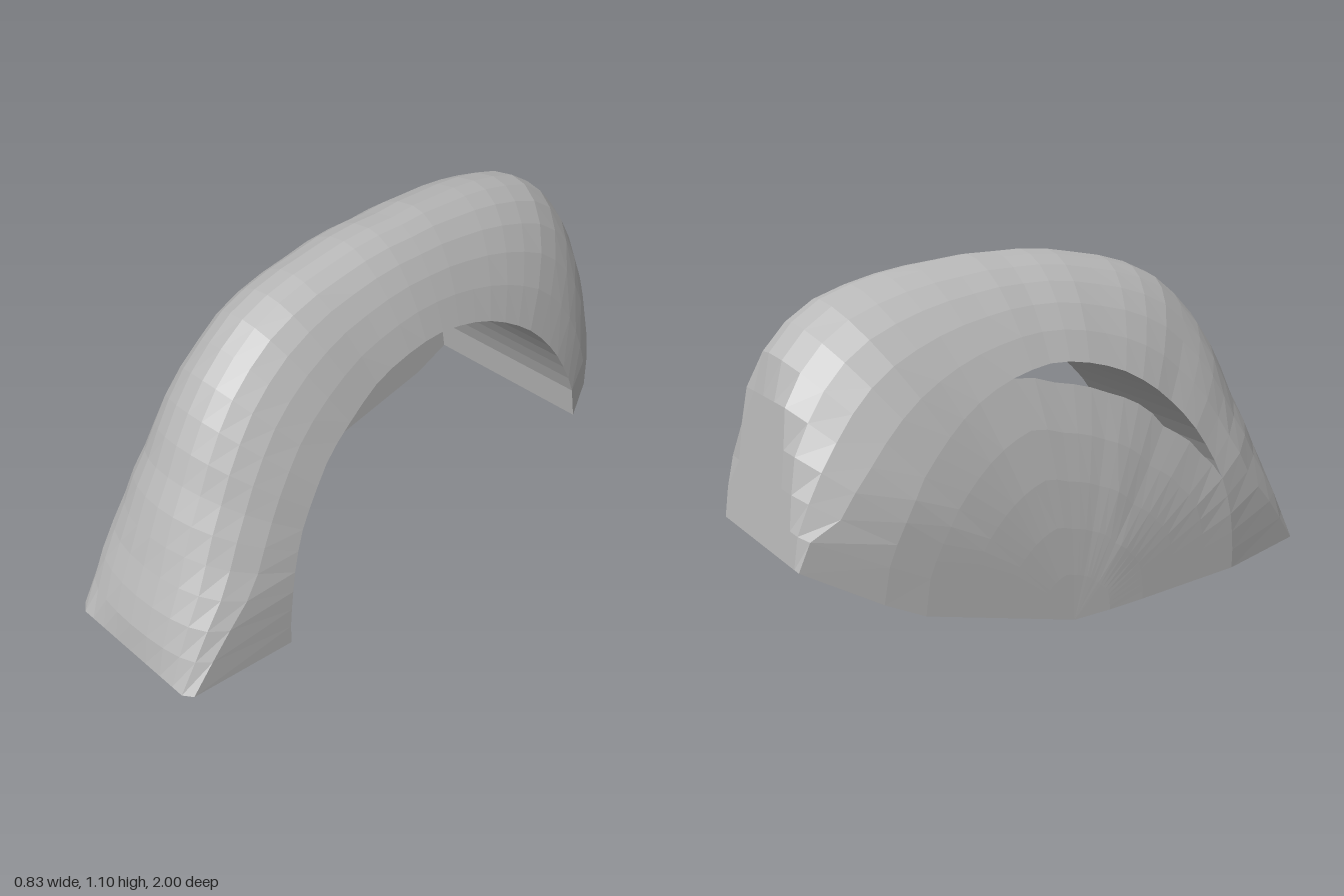
import * as THREE from 'three';

const ZC = -0.08;          // axis of the arch (parallel to x, at y = 0)
const PLATE_X = -0.27;     // inner face of the closed side
const STATIONS = 30, N = 6, PLATE_ROWS = 5;
const START = 1.06, END = 159.7; // degrees, front foot to back foot

// Piecewise linear lookup in [[key, value], ...] sorted by key
function lerpTable(table, k) {
  if (k <= table[0][0]) return table[0][1];
  for (let i = 1; i < table.length; i++) {
    const [a, va] = table[i - 1], [b, vb] = table[i];
    if (k <= b) return va + (vb - va) * (k - a) / (b - a);
  }
  return table[table.length - 1][1];
}
// Side outline (z, y) turned into radius by angle
const polar = (pts) => pts.map(([z, y]) =>
  [Math.atan2(y, z - ZC) * 180 / Math.PI, Math.hypot(z - ZC, y)]);

const crestRadius = polar([[1.03, 0.02], [1.0, 0.07], [0.91, 0.33], [0.81, 0.57], [0.7, 0.79], [0.63, 0.88],
  [0.48, 1.0], [0.2, 1.075], [-0.1, 1.1], [-0.33, 1.09], [-0.55, 1.065], [-0.77, 1.0], [-0.87, 0.92],
  [-0.94, 0.83], [-1.01, 0.68], [-1.08, 0.36]]);
const wellRadius = polar([[0.61, 0.01], [0.605, 0.15], [0.55, 0.37], [0.4, 0.59], [0.2, 0.735],
  [-0.07, 0.8], [-0.3, 0.755], [-0.5, 0.64], [-0.66, 0.45], [-0.75, 0.24]]);
const crestX = [[0, 0.12], [90, 0.1], [130, 0.01], [160, -0.08]];
// Squareness of each side of the dome by angle
const squareLeft = [[0, 60], [8, 25], [20, 10], [35, 4.8], [52, 2.8], [75, 2.35], [90, 2.4], [115, 2.6],
  [135, 4], [150, 11], [160, 40]];
const squareRight = [[0, 60], [8, 25], [20, 9], [30, 5.7], [50, 3.1], [70, 2.5], [130, 2.7], [160, 4]];
const wallX = [[-1, -0.41], [-0.65, -0.41], [0.1, -0.36], [0.65, -0.275], [1, -0.155]];
const footY = [[-1, 0.34], [-0.75, 0.2], [-0.63, 0.14], [-0.08, 0]];

// One radial cross-section of the fender
function section(deg) {
  const a = deg * Math.PI / 180, c = Math.cos(a), s = Math.sin(a);
  const R = lerpTable(crestRadius, deg), rin = lerpTable(wellRadius, deg);
  const xc = lerpTable(crestX, deg);
  const pl = lerpTable(squareLeft, deg), pr = lerpTable(squareRight, deg);
  const round = (r, p) => Math.sqrt(Math.max(0, 1 - Math.pow(r / R, p)));
  const leftX = (r) => xc - (xc - lerpTable(wallX, ZC + r * c)) * round(r, pl);
  const rightX = (r) => xc + (0.417 - xc) * round(r, pr);
  // radius of the k-th point from the crest down to the wheel arch
  const step = (k, p) => {
    const w = Math.sin(Math.asin(round(rin, p)) * k / N);
    return R * Math.pow(1 - w * w, 1 / p);
  };
  const point = (x, r) => {
    // flat cut at the back and at the front foot
    const d = 0.157 * s - c;
    if (d > 0) r = Math.min(r, 0.973 / d);
    const z = Math.min(1, ZC + r * c);
    return [x, deg >= END - 1e-6 ? lerpTable(footY, z) : r * s, z];
  };
  // radius at which the dome crosses the inner face of the closed side
  let lo = 0, hi = R;
  for (let i = 0; i < 40; i++) {
    const m = (lo + hi) / 2;
    if (leftX(m) < PLATE_X) lo = m; else hi = m;
  }
  const rp = Math.min(rin, lo);
  const left = [], right = [], outer = [], inner = [];
  for (let k = 0; k <= N; k++) {
    const rl = k === N ? rin : step(k, pl), rr = k === N ? rin : step(k, pr);
    left.push(point(leftX(rl), rl));
    right.push(point(rightX(rr), rr));
  }
  for (let k = 0; k <= PLATE_ROWS; k++) {
    const r = rp * (1 - k / PLATE_ROWS);
    outer.push(point(leftX(r), r));
    inner.push(point(PLATE_X, r));
  }
  const well = [point(Math.max(leftX(rin), PLATE_X), rin), point(rightX(rin), rin)];
  return { left, right, outer, inner, well };
}

// Skin a grid of points, facing (row direction) x (column direction)
function skin(name, rows, material) {
  const pos = [];
  for (let i = 0; i + 1 < rows.length; i++) {
    for (let k = 0; k + 1 < rows[i].length; k++) {
      const a = rows[i][k], b = rows[i + 1][k], c = rows[i + 1][k + 1], d = rows[i][k + 1];
      pos.push(...a, ...b, ...d, ...b, ...c, ...d);
    }
  }
  const g = new THREE.BufferGeometry();
  g.setAttribute('position', new THREE.Float32BufferAttribute(pos, 3));
  g.computeVertexNormals();
  const mesh = new THREE.Mesh(g, material);
  mesh.name = name;
  return mesh;
}

export function createModel() {
  const grey = new THREE.MeshStandardMaterial({ color: 0xb8b8b8 });
  grey.name = 'grey';
  const group = new THREE.Group();
  group.name = 'wheelFender';

  const sections = [];
  for (let i = 0; i <= STATIONS; i++) sections.push(section(START + (END - START) * i / STATIONS));
  const first = sections[0], last = sections[STATIONS];
  const pair = (p, q) => p.map((v, k) => [v, q[k]]);

  group.add(
    // domed outer skin, then the closed side and the wheel arch
    skin('fenderShell', sections.map((s) => [...s.right.slice().reverse(), ...s.left.slice(1)]), grey),
    skin('sidePlateOuter', sections.map((s) => s.outer), grey),
    skin('sidePlateInner', sections.map((s) => s.inner.slice().reverse()), grey),
    skin('wheelWell', sections.map((s) => s.well), grey),
    // undersides of the two feet and of the closed side
    skin('frontFoot', pair(first.left, first.right), grey),
    skin('backFoot', pair(last.right, last.left), grey),
    skin('sidePlateFrontEdge', pair(first.outer, first.inner), grey),
    skin('sidePlateBackEdge', pair(last.inner, last.outer), grey),
  );
  return group;
}
